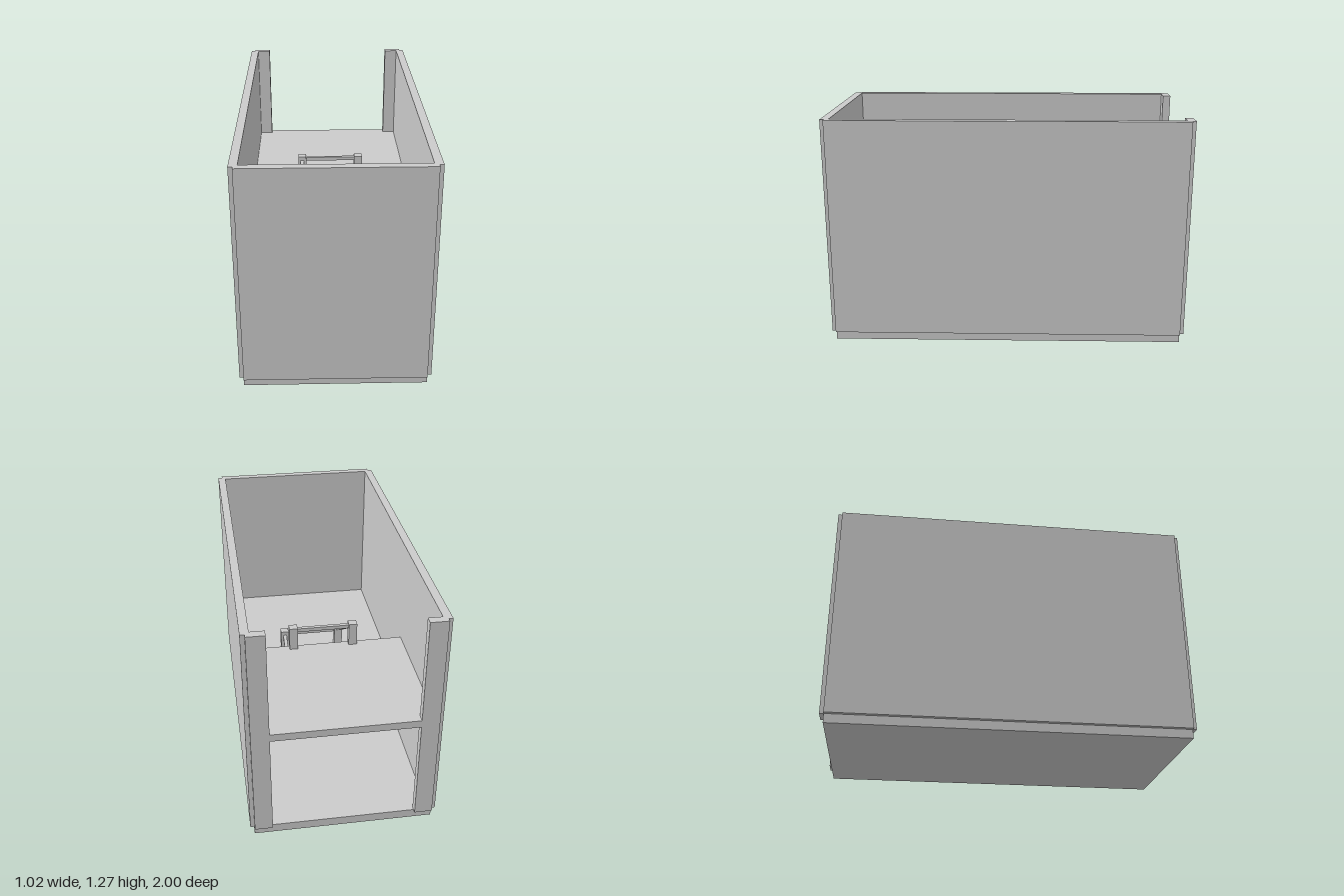
import * as THREE from 'three';

const material = new THREE.MeshStandardMaterial({ color: 0xcccccc, flatShading: true });

const BASE = 0.05, TOP = 1.27, FLOOR = 0.685;
const LANDING = (BASE + FLOOR) / 2;
const SLAB = 0.042;
const INNER = 0.465;                       // inner face of the side walls
const STAIR_BACK = -0.204, STAIR_FRONT = 0.241, STEPS = 12;
const NEWEL_X = 0.172, NEWEL_BACK = -0.217, NEWEL_FRONT = 0.265;
const NEWEL_HEIGHT = 0.135, RAIL_HEIGHT = 0.115;

export function createModel() {
  const model = new THREE.Group();
  model.name = 'stairwellModule';

  const add = (name, geometry) => {
    const mesh = new THREE.Mesh(geometry, material);
    mesh.name = name;
    model.add(mesh);
    return mesh;
  };

  // Box given by its limits on each axis
  const box = (name, x0, x1, y0, y1, z0, z1) => {
    const mesh = add(name, new THREE.BoxGeometry(x1 - x0, y1 - y0, z1 - z0));
    mesh.position.set((x0 + x1) / 2, (y0 + y1) / 2, (z0 + z1) / 2);
    return mesh;
  };

  // Shell: base, side walls, front wall and the two posts of the open back
  box('base', -0.488, 0.488, 0, BASE, -0.977, 0.977);
  box('frontWall', -0.487, 0.487, BASE, TOP, 0.955, 1);
  for (const [side, s] of [['left', 1], ['right', -1]]) {
    const wall = box(side + 'Wall', 0.465, 0.51, BASE, TOP, -0.977, 0.977);
    const post = box(side + 'BackPost', 0.39, 0.487, BASE, TOP, -1, -0.955);
    wall.position.x *= s;
    post.position.x *= s;
  }

  // Upper floor (its back edge fits between the posts) and the half landing
  box('upperFloor', -INNER, INNER, FLOOR - SLAB, FLOOR, -0.955, STAIR_BACK);
  box('upperFloorEdge', -0.39, 0.39, FLOOR - SLAB, FLOOR, -1, -0.955);
  box('landing', -INNER, INNER, LANDING - SLAB, LANDING, STAIR_FRONT, 0.955);

  // Stair flight: stepped profile with a sloping soffit, extruded across x
  const flight = (name, xCentre, zStart, zEnd, yStart, yEnd) => {
    const run = (zEnd - zStart) / STEPS;
    const rise = (yEnd - yStart) / (STEPS + 1);
    const shape = new THREE.Shape();
    shape.moveTo(zStart, yStart);
    for (let i = 0; i < STEPS; i++) {
      shape.lineTo(zStart + i * run, yStart + (i + 1) * rise);
      shape.lineTo(zStart + (i + 1) * run, yStart + (i + 1) * rise);
    }
    shape.lineTo(zEnd, yEnd - SLAB);
    shape.lineTo(zStart + run, yStart);
    const width = INNER - 0.18;
    const geometry = new THREE.ExtrudeGeometry(shape, { depth: width, bevelEnabled: false });
    geometry.rotateY(-Math.PI / 2);
    add(name, geometry).position.x = xCentre + width / 2;
  };
  const flightX = (INNER + 0.18) / 2;
  flight('lowerFlight', flightX, STAIR_BACK, STAIR_FRONT, BASE, LANDING);
  flight('upperFlight', -flightX, STAIR_FRONT, STAIR_BACK, LANDING, FLOOR);

  // Newel posts
  const newel = (name, x, y, z) =>
    box(name, x - 0.024, x + 0.024, y, y + NEWEL_HEIGHT, z - 0.024, z + 0.024);
  newel('groundNewel', NEWEL_X, BASE, NEWEL_BACK);
  for (const x of [-NEWEL_X, NEWEL_X]) {
    newel('landingNewel', x, LANDING, NEWEL_FRONT);
    newel('upperNewel', x, FLOOR, NEWEL_BACK);
  }

  // Handrails joining the newels
  const rail = (name, x0, y0, z0, x1, y1, z1) => {
    const a = new THREE.Vector3(x0, y0 + RAIL_HEIGHT, z0);
    const b = new THREE.Vector3(x1, y1 + RAIL_HEIGHT, z1);
    const mesh = add(name, new THREE.BoxGeometry(0.021, 0.021, a.distanceTo(b)));
    mesh.position.copy(a).lerp(b, 0.5);
    mesh.lookAt(b);
  };
  rail('lowerHandrail', NEWEL_X, BASE, NEWEL_BACK, NEWEL_X, LANDING, NEWEL_FRONT);
  rail('upperHandrail', -NEWEL_X, LANDING, NEWEL_FRONT, -NEWEL_X, FLOOR, NEWEL_BACK);
  rail('landingRail', -NEWEL_X, LANDING, NEWEL_FRONT, NEWEL_X, LANDING, NEWEL_FRONT);
  rail('upperFloorRail', -NEWEL_X, FLOOR, NEWEL_BACK, NEWEL_X, FLOOR, NEWEL_BACK);

  return model;
}
